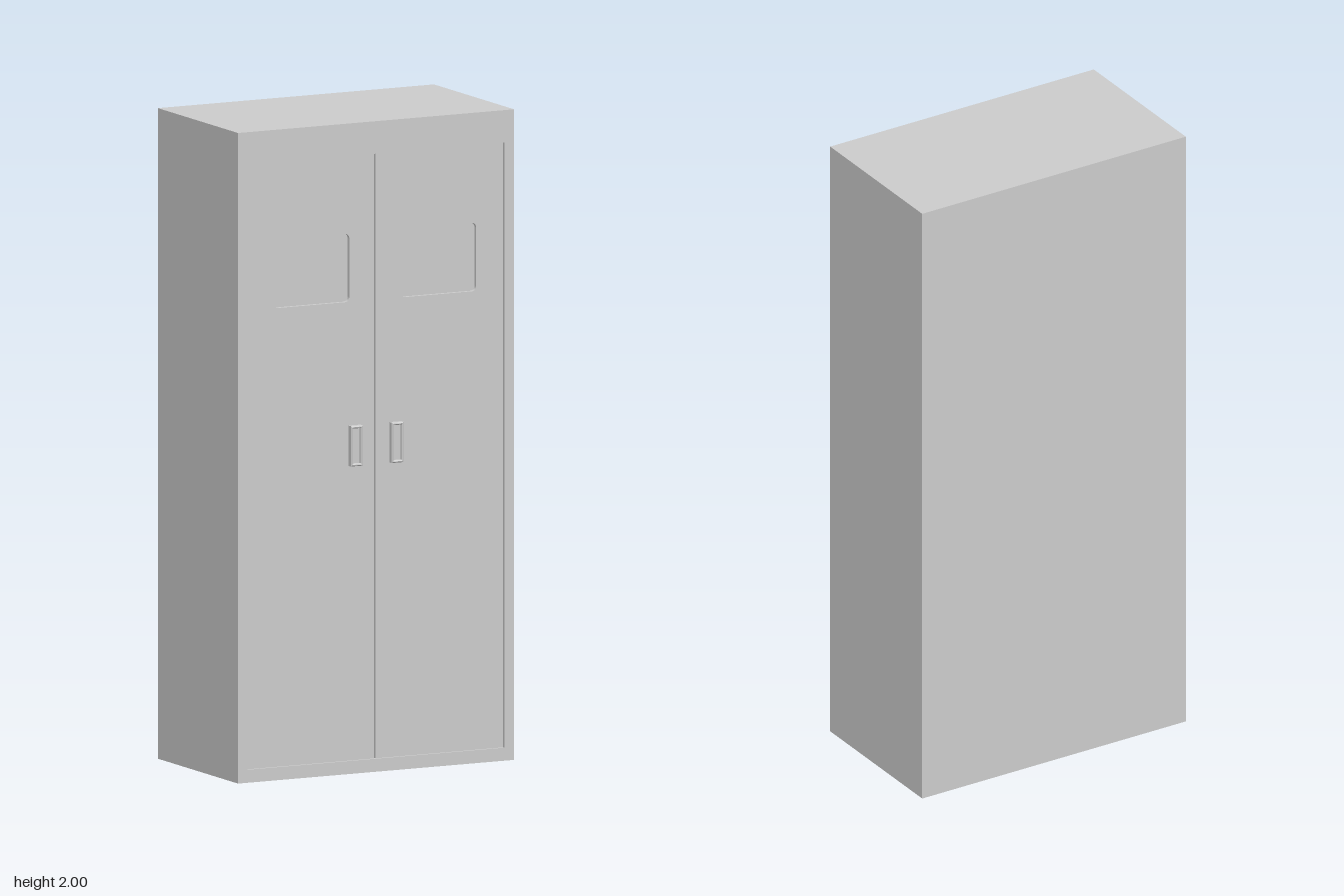
import * as THREE from 'three';

const W = 0.473, BACK = -0.266, FRONT = 0.256, FLOOR = 0.236, DOOR = 0.248;

// Rectangle with optionally rounded corners
function rect(x0, y0, x1, y1, r = 0, Type = THREE.Shape) {
  const s = new Type();
  if (!r) return s.moveTo(x0, y0).lineTo(x1, y0).lineTo(x1, y1).lineTo(x0, y1).closePath();
  s.moveTo(x0 + r, y0);
  s.absarc(x1 - r, y0 + r, r, -Math.PI / 2, 0);
  s.absarc(x1 - r, y1 - r, r, 0, Math.PI / 2);
  s.absarc(x0 + r, y1 - r, r, Math.PI / 2, Math.PI);
  s.absarc(x0 + r, y0 + r, r, Math.PI, Math.PI * 1.5);
  return s;
}

export function createModel() {
  const group = new THREE.Group();
  const mat = new THREE.MeshStandardMaterial({ color: 0xcccccc, flatShading: true });
  const add = (name, geo, x = 0, y = 0, z = 0) => {
    const m = new THREE.Mesh(geo, mat);
    m.name = name;
    m.position.set(x, y, z);
    group.add(m);
  };
  const slab = (shape, depth) =>
    new THREE.ExtrudeGeometry(shape, { depth, bevelEnabled: false, curveSegments: 4 });

  // Cabinet body
  add('body', new THREE.BoxGeometry(2 * W, 2, FLOOR - BACK), 0, 1, (FLOOR + BACK) / 2);

  // Front frame around the door opening
  const frame = rect(-W, 0, W, 2);
  frame.holes.push(rect(-0.44, 0.04, 0.44, 1.9, 0, THREE.Path));
  add('frontFrame', slab(frame, FRONT - FLOOR), 0, 0, FLOOR);

  for (const s of [-1, 1]) {
    const side = s > 0 ? 'left' : 'right';

    // Door set into the frame, with a sunken upper panel
    const cx = s * 0.2215, px = s * 0.2175;
    const door = rect(cx - 0.2185, 0.04, cx + 0.2185, 1.9);
    door.holes.push(rect(px - 0.13, 1.45, px + 0.13, 1.66, 0.015, THREE.Path));
    add(side + 'Door', slab(door, DOOR - FLOOR), 0, 0, FLOOR);

    // Bevelled handle rim with a recessed centre
    const rim = rect(-0.02, -0.062, 0.02, 0.062);
    rim.holes.push(rect(-0.013, -0.054, 0.013, 0.054, 0, THREE.Path));
    const rimGeo = new THREE.ExtrudeGeometry(rim, {
      depth: 0.02, bevelThickness: 0.003, bevelSize: 0.003, bevelOffset: -0.003, bevelSegments: 1,
    });
    add(side + 'HandleRim', rimGeo, s * 0.07, 1.008, 0.243);
    add(side + 'HandlePlate', new THREE.BoxGeometry(0.032, 0.114, 0.012), s * 0.07, 1.008, 0.25);
  }
  return group;
}
